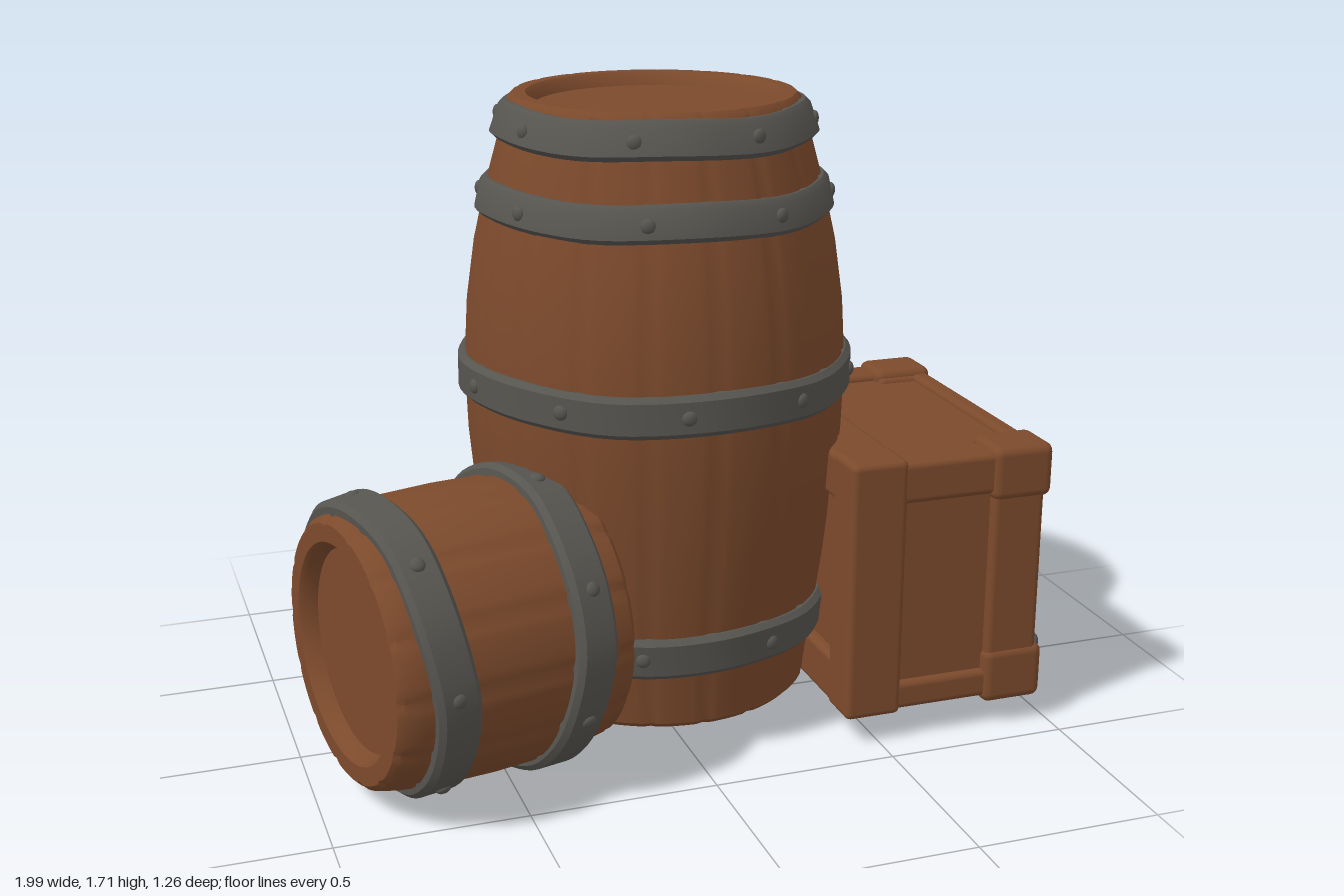
import * as THREE from 'three';
import { toCreasedNormals } from 'three/addons/utils/BufferGeometryUtils.js';
import { RoundedBoxGeometry } from 'three/addons/geometries/RoundedBoxGeometry.js';

const wood = new THREE.MeshStandardMaterial({ color: 0x7c4a2c });
wood.name = 'wood';
const iron = new THREE.MeshStandardMaterial({ color: 0x575550 });
iron.name = 'iron';

function add(parent, name, geometry, material) {
  const mesh = new THREE.Mesh(geometry, material);
  mesh.name = name;
  parent.add(mesh);
  return mesh;
}

const lathe = (pts, segments) =>
  new THREE.LatheGeometry(pts.map(([r, y]) => new THREE.Vector2(r, y)), segments);

// Barrel body: bulging side with a shallow groove between staves, recessed lids at both ends
function barrelBody(side, lidRadius, recess, staves) {
  const [r0, y0] = side[0];
  const [r1, y1] = side[side.length - 1];
  const pts = [
    [0, y0 + recess], [lidRadius - 0.01, y0 + recess], [lidRadius, y0 + 0.012], [lidRadius + 0.012, y0],
    [r0 - 0.015, y0], [r0, y0 + 0.015],
    ...side.slice(1, -1),
    [r1, y1 - 0.015], [r1 - 0.015, y1],
    [lidRadius + 0.012, y1], [lidRadius, y1 - 0.012], [lidRadius - 0.01, y1 - recess], [0, y1 - recess],
  ];
  const perStave = 8;
  const geo = lathe(pts, staves * perStave);
  const pos = geo.attributes.position;
  for (let i = 0; i < pos.count; i++) {
    const column = Math.floor(i / pts.length);
    const x = pos.getX(i), z = pos.getZ(i), r = Math.hypot(x, z);
    if (column % perStave !== 0 || r < lidRadius + 0.02) continue;
    const k = (r - 0.006) / r;
    pos.setX(i, x * k);
    pos.setZ(i, z * k);
  }
  return toCreasedNormals(geo, 0.6);
}

// Iron hoop with softened edges, slight hammering and rivets, centred on its own height
function hoop(parent, name, y0, y1, r0, r1, rivets, phase) {
  const group = new THREE.Group();
  group.name = name;
  group.position.y = (y0 + y1) / 2;
  const h = (y1 - y0) / 2, b = 0.014, t = 0.07;
  const geo = lathe([
    [r0 - t, -h], [r0 - b, -h], [r0, -h + b], [r1, h - b], [r1 - b, h], [r1 - t, h], [r0 - t, -h],
  ], 72);
  const pos = geo.attributes.position;
  for (let i = 0; i < pos.count; i++) {
    const a = Math.atan2(pos.getX(i), pos.getZ(i));
    const k = 1 + 0.005 * Math.sin(a * 7 + phase) * Math.cos(a * 4);
    pos.setXYZ(i, pos.getX(i) * k, pos.getY(i) + 0.004 * Math.sin(a * 5 + phase), pos.getZ(i) * k);
  }
  add(group, 'band', toCreasedNormals(geo, 0.6), iron);
  for (let i = 0; i < rivets; i++) {
    const a = phase + (i / rivets) * Math.PI * 2, r = (r0 + r1) / 2 - 0.002;
    const rivet = add(group, 'rivet', new THREE.SphereGeometry(0.02, 12, 8), iron);
    rivet.scale.z = 0.6;
    rivet.position.set(Math.sin(a) * r, 0, Math.cos(a) * r);
    rivet.rotation.y = a;
  }
  parent.add(group);
  return group;
}

function tallBarrel() {
  const g = new THREE.Group();
  g.name = 'standingBarrel';
  add(g, 'standingBarrelStaves', barrelBody([
    [0.42, 0.095], [0.432, 0.2], [0.455, 0.35], [0.488, 0.6], [0.508, 0.82], [0.514, 1.0],
    [0.503, 1.18], [0.48, 1.34], [0.448, 1.48], [0.415, 1.6], [0.385, 1.728],
  ], 0.325, 0.035, 18), wood);
  hoop(g, 'lowHoop', 0.26, 0.375, 0.468, 0.478, 8, 0.4);
  hoop(g, 'middleHoop', 0.94, 1.05, 0.53, 0.53, 10, 1.1);
  hoop(g, 'upperHoop', 1.42, 1.515, 0.475, 0.46, 8, 2.0);
  hoop(g, 'topHoop', 1.615, 1.712, 0.432, 0.408, 8, 2.7);
  g.position.set(0.03, 0, -0.1);
  return g;
}

function lyingBarrel() {
  const g = new THREE.Group();
  g.name = 'lyingBarrel';
  const barrel = new THREE.Group();
  barrel.name = 'lyingBarrelBody';
  barrel.rotation.z = -Math.PI / 2;
  add(barrel, 'lyingBarrelStaves', barrelBody([
    [0.35, -0.325], [0.362, -0.26], [0.376, -0.14], [0.38, 0], [0.377, 0.14], [0.366, 0.25], [0.355, 0.325],
  ], 0.275, 0.045, 14), wood);
  const outer = hoop(barrel, 'outerHoop', -0.265, -0.15, 0.392, 0.397, 7, 0.9);
  outer.rotation.set(-0.05, 0, 0.08);
  const inner = hoop(barrel, 'innerHoop', 0.11, 0.225, 0.405, 0.4, 7, 2.2);
  inner.rotation.set(-0.05, 0, -0.07);
  g.add(barrel);
  g.position.set(-0.6, 0.417, 0.195);
  g.rotation.y = 0.22;
  return g;
}

function crate() {
  const g = new THREE.Group();
  g.name = 'crate';
  const beam = (name, x0, x1, y0, y1, z0, z1, radius = 0.018) => {
    const m = add(g, name, new RoundedBoxGeometry(x1 - x0, y1 - y0, z1 - z0, 3, radius), wood);
    m.position.set((x0 + x1) / 2, (y0 + y1) / 2, (z0 + z1) / 2);
  };
  beam('cratePanels', 0.43, 0.945, 0.13, 0.785, -0.44, 0.39, 0.005);

  // Each end has posts, rails between them and chunky corners
  for (const [z0, z1, outward] of [[-0.465, -0.32, -1], [0.28, 0.415, 1]]) {
    beam('innerPost', 0.4, 0.56, 0.09, 0.815, z0, z1);
    beam('outerPost', 0.81, 0.962, 0.1, 0.8, z0, z1);
    beam('upperRail', 0.54, 0.83, 0.69, 0.805, outward < 0 ? z0 + 0.005 : 0.3, outward < 0 ? -0.36 : z1 - 0.005);
    beam('lowerRail', 0.54, 0.83, 0.1, 0.18, outward < 0 ? z0 + 0.005 : 0.3, outward < 0 ? -0.36 : z1 - 0.005);
    const c0 = outward < 0 ? z0 - 0.008 : z0 - 0.01;
    const c1 = outward < 0 ? z1 - 0.01 : z1 + 0.008;
    beam('topCorner', 0.805, 0.98, 0.67, 0.82, c0, c1, 0.025);
    beam('bottomCorner', 0.805, 0.98, 0.083, 0.24, c0, c1, 0.025);
  }

  // Long rails on both sides
  beam('outerTopRail', 0.92, 0.974, 0.675, 0.802, -0.44, 0.39);
  beam('outerLowRail', 0.9, 0.974, 0.185, 0.32, -0.44, 0.39);
  beam('outerSill', 0.87, 0.955, 0.1, 0.2, -0.44, 0.39);
  beam('innerTopRail', 0.402, 0.565, 0.68, 0.808, -0.44, 0.39);
  beam('innerLowRail', 0.402, 0.565, 0.095, 0.23, -0.44, 0.39);

  // Bolts on the outer side
  for (const y of [0.22, 0.735]) for (const z of [-0.41, 0.35]) {
    const bolt = add(g, 'bolt', new THREE.SphereGeometry(0.027, 14, 10), iron);
    bolt.scale.x = 0.75;
    bolt.position.set(0.98, y, z);
  }
  return g;
}

export function createModel() {
  const model = new THREE.Group();
  model.name = 'barrelsAndCrate';
  model.add(tallBarrel(), lyingBarrel(), crate());
  return model;
}
